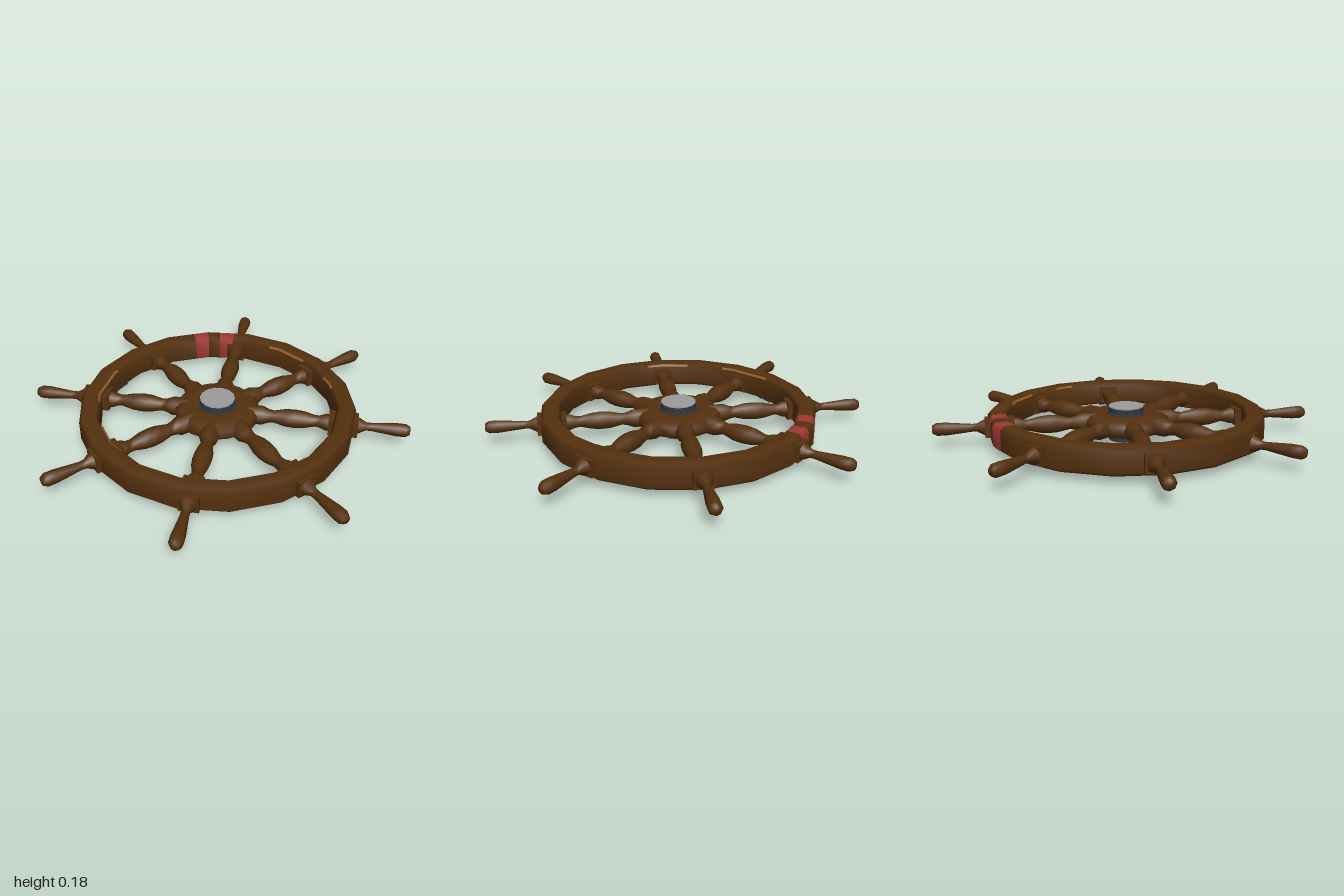
import * as THREE from 'three';

const MID_Y = 0.1;
const STEP = 20; // the rim is an 18-sided ring

function material(name, color, side = THREE.FrontSide) {
  const m = new THREE.MeshStandardMaterial({ color, side });
  m.name = name;
  return m;
}

// Sweeps a closed counter-clockwise section of [radius, y] along the 18-sided ring
function ringArc(section, from, to) {
  const angles = [from];
  for (let a = Math.floor(from / STEP + 1) * STEP; a < to; a += STEP) angles.push(a);
  angles.push(to);
  const pos = [], idx = [], n = section.length;
  const half = THREE.MathUtils.degToRad(STEP / 2);
  for (const a of angles) {
    const t = THREE.MathUtils.degToRad(a);
    const offset = THREE.MathUtils.euclideanModulo(t, half * 2) - half;
    const k = Math.cos(half) / Math.cos(offset); // keeps points on the straight sides
    for (const [r, y] of section) pos.push(r * k * Math.cos(t), y, -r * k * Math.sin(t));
  }
  for (let j = 0; j < angles.length - 1; j++) {
    for (let i = 0; i < n; i++) {
      const a = j * n + i, b = j * n + (i + 1) % n;
      idx.push(a, a + n, b, b, a + n, b + n);
    }
  }
  const g = new THREE.BufferGeometry();
  g.setAttribute('position', new THREE.Float32BufferAttribute(pos, 3));
  g.setIndex(idx);
  g.computeVertexNormals();
  return g;
}

const lathe = (points, sides) =>
  new THREE.LatheGeometry(points.map(([r, y]) => new THREE.Vector2(r, y)), sides);

export function createModel() {
  const model = new THREE.Group();
  model.name = 'shipWheel';
  const wood = material('dark wood', 0x55310f);
  const worn = material('worn wood', 0x8a5a26, THREE.DoubleSide);
  const red = material('red band', 0x9e3835);
  const iron = material('dark iron', 0x34373a);
  const steel = material('pale steel', 0x9c9c9c);

  const add = (parent, name, geometry, mat) => {
    const mesh = new THREE.Mesh(geometry, mat);
    mesh.name = name;
    parent.add(mesh);
    return mesh;
  };

  // Rim, split where the red bands are painted
  const rimSection = [
    [0.622, 0.055], [0.64, 0.037], [0.705, 0.037], [0.722, 0.055],
    [0.722, 0.152], [0.705, 0.171], [0.64, 0.171], [0.622, 0.152],
  ];
  const rim = new THREE.Group();
  rim.name = 'rim';
  model.add(rim);
  add(rim, 'rimWood', ringArc(rimSection, 67, 407), wood);
  add(rim, 'rimWoodBetweenBands', ringArc(rimSection, 54, 60), wood);
  add(rim, 'redBandOne', ringArc(rimSection, 60, 67), red);
  add(rim, 'redBandTwo', ringArc(rimSection, 47, 54), red);

  // Thin worn streaks along the upper inner edge
  const streak = [[0.624, 0.157], [0.634, 0.164], [0.633, 0.168], [0.622, 0.159]];
  for (const [from, to] of [[4, 26], [-24, -14], [118, 146], [166, 188]]) {
    add(rim, 'wornStreak', ringArc(streak, from, to), worn);
  }
  // Small dark chips along the lower inner edge
  const chip = [[0.618, 0.046], [0.632, 0.034], [0.634, 0.042], [0.626, 0.05]];
  for (const [from, to] of [[-60, -56], [-52, -47], [-44, -40], [112, 122]]) {
    add(rim, 'darkChip', ringArc(chip, from, to), iron);
  }

  // Turned spokes with handles, one every 45 degrees
  const spokeShape = lathe([
    [0.05, 0.16], [0.05, 0.24], [0.036, 0.275], [0.032, 0.3], [0.046, 0.36],
    [0.049, 0.41], [0.044, 0.46], [0.03, 0.515], [0.032, 0.54], [0.044, 0.57], [0.044, 0.62],
  ], 8);
  const handleShape = lathe([
    [0.045, 0.7], [0.044, 0.735], [0.022, 0.775], [0.021, 0.8], [0.028, 0.87],
    [0.034, 0.93], [0.034, 0.975], [0.022, 0.997], [0, 1],
  ], 8);
  const blockShape = new THREE.BoxGeometry(0.15, 0.088, 0.1);
  for (let i = 0; i < 8; i++) {
    const spoke = new THREE.Group();
    spoke.name = 'spoke';
    spoke.position.y = MID_Y;
    spoke.rotation.y = i * Math.PI / 4;
    add(spoke, 'spokeShaft', spokeShape, wood).rotation.z = -Math.PI / 2;
    add(spoke, 'handle', handleShape, wood).rotation.z = -Math.PI / 2;
    add(spoke, 'rimBlock', blockShape, wood).position.x = 0.66;
    model.add(spoke);
  }

  // Wooden hub disc
  add(model, 'hub', lathe([
    [0.08, 0.058], [0.14, 0.053], [0.2, 0.06], [0.222, 0.08],
    [0.222, 0.12], [0.2, 0.14], [0.14, 0.147], [0.08, 0.142],
  ], 20), wood);

  // Iron axle with collars and pale end caps
  const axle = add(model, 'axle', new THREE.CylinderGeometry(0.093, 0.093, 0.174, 14), iron);
  axle.position.y = 0.091;
  const collar = add(model, 'axleCollar', new THREE.CylinderGeometry(0.104, 0.104, 0.1, 11), iron);
  collar.position.y = MID_Y;
  for (const [name, y] of [['topCap', 0.18], ['bottomCap', 0.003]]) {
    add(model, name, new THREE.CylinderGeometry(0.092, 0.092, 0.006, 14), steel).position.y = y;
  }
  return model;
}
